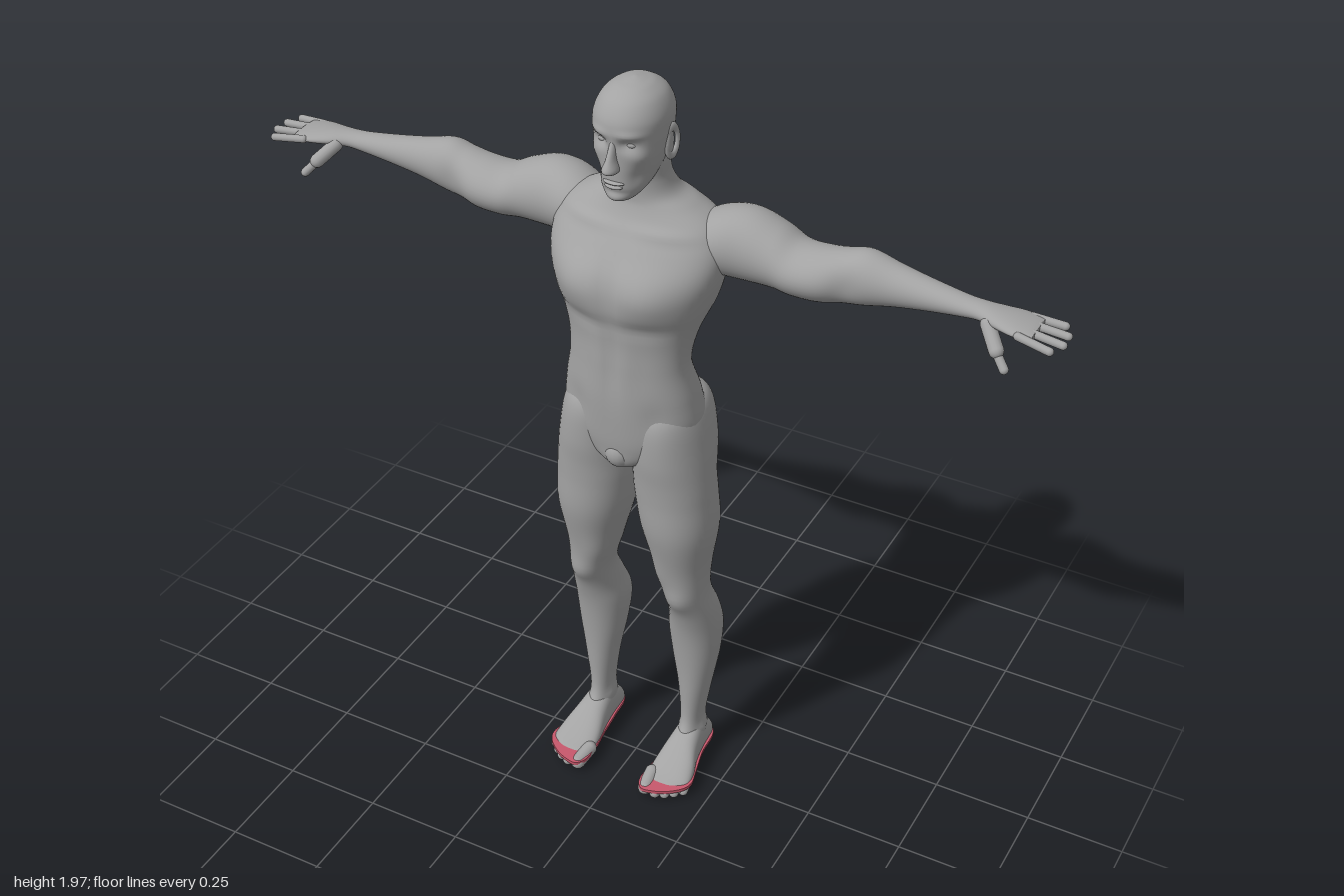
import * as THREE from 'three';

const skin = new THREE.MeshStandardMaterial({ color: 0xa3a3a3 });
skin.name = 'grey skin';
const pink = new THREE.MeshStandardMaterial({ color: 0xc8586c });
pink.name = 'pink sole edge';

const V = (x, y, z) => new THREE.Vector3(x, y, z);

// Smooth value through four keys
const spline = (a, b, c, d, t) =>
  b + 0.5 * t * (c - a + t * (2 * a - 5 * b + 4 * c - d + t * (3 * (b - c) + d - a)));

// Skin over rings [t, aMin, aMax, bMin, bMax]; (a, b) is (z, x) along y, (y, z) along x, (x, y) along z
function loft(axis, keys, power = 2, sides = 40, steps = 5) {
  const rows = [];
  const key = i => keys[Math.min(keys.length - 1, Math.max(0, i))];
  for (let i = 0; i < keys.length - 1; i++)
    for (let s = 0; s < steps; s++)
      rows.push(key(i).map((v, c) => spline(key(i - 1)[c], v, key(i + 1)[c], key(i + 2)[c], s / steps)));
  rows.push(key(keys.length - 1));
  const pos = [], index = [];
  const place = (t, a, b) => {
    if (axis === 'y') pos.push(b, t, a);
    else if (axis === 'x') pos.push(t, a, b);
    else pos.push(a, b, t);
  };
  const curve = v => Math.sign(v) * Math.abs(v) ** (2 / power);
  for (const [t, a0, a1, b0, b1] of rows)
    for (let j = 0; j < sides; j++) {
      const u = (j / sides) * Math.PI * 2;
      place(t, (a0 + a1) / 2 + (a1 - a0) / 2 * curve(Math.cos(u)),
        (b0 + b1) / 2 + (b1 - b0) / 2 * curve(Math.sin(u)));
    }
  const last = rows.length - 1, end = rows.length * sides;
  for (const r of [rows[0], rows[last]]) place(r[0], (r[1] + r[2]) / 2, (r[3] + r[4]) / 2);
  for (let j = 0; j < sides; j++) {
    const k = (j + 1) % sides;
    for (let i = 0; i < last; i++) {
      const p = i * sides + j, q = i * sides + k;
      index.push(p, q, p + sides, q, q + sides, p + sides);
    }
    index.push(end, k, j, end + 1, last * sides + j, last * sides + k);
  }
  const g = new THREE.BufferGeometry();
  g.setAttribute('position', new THREE.Float32BufferAttribute(pos, 3));
  g.setIndex(index);
  g.computeVertexNormals();
  return g;
}

// Push the surface in or out with soft mirrored bumps [x, y, z, rx, ry, rz, height]
function sculpt(g, bumps) {
  const p = g.attributes.position, n = g.attributes.normal;
  for (let i = 0; i < p.count; i++) {
    const x = Math.abs(p.getX(i)), y = p.getY(i), z = p.getZ(i);
    let h = 0;
    for (const [bx, by, bz, rx, ry, rz, amp] of bumps)
      h += amp * Math.exp(-(((x - bx) / rx) ** 2) - ((y - by) / ry) ** 2 - ((z - bz) / rz) ** 2);
    p.setXYZ(i, p.getX(i) + n.getX(i) * h, y + n.getY(i) * h, z + n.getZ(i) * h);
  }
  g.computeVertexNormals();
  return g;
}

// Rounded rod between two points, for fingers and toes
function rod(a, b, r) {
  const d = b.clone().sub(a);
  const g = new THREE.CapsuleGeometry(r, d.length(), 6, 14);
  g.applyQuaternion(new THREE.Quaternion().setFromUnitVectors(V(0, 1, 0), d.normalize()));
  const m = a.clone().add(b).multiplyScalar(0.5);
  return g.translate(m.x, m.y, m.z);
}

const blob = (x, y, z, rx, ry, rz) =>
  new THREE.SphereGeometry(1, 20, 14).scale(rx, ry, rz).translate(x, y, z);

function mirrored(g) {
  const m = g.clone().scale(-1, 1, 1);
  if (!m.index) m.setIndex([...Array(m.attributes.position.count).keys()]);
  const ix = m.index;
  for (let i = 0; i < ix.count; i += 3) {
    const t = ix.getX(i);
    ix.setX(i, ix.getX(i + 1));
    ix.setX(i + 1, t);
  }
  return m;
}

export function createModel() {
  const model = new THREE.Group();
  model.name = 'figure';
  const add = (name, g, mat = skin) => {
    const m = new THREE.Mesh(g, mat);
    m.name = name;
    model.add(m);
  };
  const pair = (name, g, mat) => {
    add('left' + name, g, mat);
    add('right' + name, mirrored(g), mat);
  };

  // Torso and neck: [y, half width, back, front]
  const upright = ([y, w, back, front]) => [y, back, front, -w, w];
  const torso = loft('y', [
    [0.975, 0.02, -0.03, 0.06], [1.0, 0.07, -0.07, 0.1], [1.05, 0.14, -0.1, 0.112],
    [1.11, 0.172, -0.115, 0.118], [1.19, 0.165, -0.1, 0.122], [1.28, 0.148, -0.068, 0.12],
    [1.36, 0.158, -0.09, 0.122], [1.45, 0.188, -0.132, 0.138], [1.52, 0.208, -0.148, 0.13],
    [1.58, 0.21, -0.152, 0.095], [1.63, 0.185, -0.142, 0.058], [1.665, 0.13, -0.125, 0.04],
    [1.69, 0.088, -0.106, 0.036], [1.73, 0.07, -0.086, 0.038], [1.78, 0.066, -0.076, 0.045],
    [1.82, 0.05, -0.06, 0.04]].map(upright), 2.2, 64, 7);
  add('torso', sculpt(torso, [
    [0.085, 1.49, 0.13, 0.065, 0.055, 0.08, 0.014],   // chest
    [0, 1.5, 0.13, 0.018, 0.09, 0.06, -0.006],        // breastbone
    [0.07, 1.4, 0.12, 0.08, 0.02, 0.06, -0.006],      // under chest
    [0, 1.28, 0.12, 0.012, 0.1, 0.05, -0.004],        // belly line
    [0.035, 1.3, 0.12, 0.025, 0.1, 0.05, 0.004],      // abdomen
    [0.1, 1.15, 0.1, 0.03, 0.05, 0.05, -0.005],       // groin crease
    [0.09, 1.62, 0.05, 0.08, 0.012, 0.06, 0.006],     // collarbone
    [0, 1.4, -0.12, 0.025, 0.17, 0.08, -0.016],       // spine
    [0.1, 1.53, -0.14, 0.05, 0.07, 0.06, 0.008],      // shoulder blade
    [0.05, 1.27, -0.07, 0.03, 0.1, 0.05, 0.007],      // lower back
    [0.17, 1.46, -0.06, 0.05, 0.07, 0.07, 0.008]]));  // side muscle
  add('groin', blob(0, 1.03, 0.082, 0.036, 0.042, 0.036));

  // Head: [y, half width, back, front]
  const head = loft('y', [
    [1.707, 0.018, 0.045, 0.085], [1.715, 0.034, 0.02, 0.1], [1.74, 0.054, -0.02, 0.106],
    [1.78, 0.069, -0.066, 0.108], [1.82, 0.078, -0.088, 0.109], [1.86, 0.083, -0.096, 0.112],
    [1.9, 0.083, -0.094, 0.109], [1.935, 0.068, -0.077, 0.088], [1.955, 0.044, -0.05, 0.058],
    [1.963, 0.022, -0.024, 0.03], [1.967, 0.003, -0.001, 0.006]].map(upright), 2.15, 64, 8);
  add('head', sculpt(head, [
    [0.034, 1.85, 0.1, 0.02, 0.014, 0.04, -0.013],    // eye socket
    [0.034, 1.874, 0.1, 0.026, 0.009, 0.04, 0.005],   // brow
    [0.052, 1.82, 0.08, 0.02, 0.016, 0.03, 0.004],    // cheekbone
    [0.05, 1.77, 0.08, 0.02, 0.025, 0.03, -0.006],    // cheek
    [0, 1.733, 0.1, 0.03, 0.008, 0.03, -0.003],       // under lip
    [0, 1.718, 0.1, 0.02, 0.01, 0.03, 0.004]]));      // chin
  add('nose', loft('y', [
    [1.785, 0.008, 0.09, 0.12], [1.789, 0.016, 0.09, 0.135], [1.798, 0.018, 0.09, 0.142],
    [1.82, 0.011, 0.09, 0.131], [1.85, 0.008, 0.088, 0.115], [1.865, 0.006, 0.088, 0.108]
  ].map(upright), 2, 20));
  add('upperLip', blob(0, 1.758, 0.103, 0.026, 0.005, 0.012));
  add('lowerLip', blob(0, 1.748, 0.102, 0.022, 0.006, 0.012));
  pair('Eye', blob(0.033, 1.849, 0.084, 0.014, 0.009, 0.01));
  const ear = new THREE.TorusGeometry(0.02, 0.007, 10, 24).scale(0.85, 1.7, 0.8)
    .rotateY(Math.PI / 2 - 0.35).translate(0.083, 1.827, -0.008);
  pair('EarRim', ear);
  pair('EarBowl', blob(0.08, 1.826, -0.004, 0.007, 0.034, 0.016));

  // Arm: [x, bottom, top, back, front]
  const arm = loft('x', [
    [0.1, 1.53, 1.62, -0.11, 0.01], [0.18, 1.505, 1.66, -0.15, 0.018],
    [0.25, 1.497, 1.668, -0.158, 0.006], [0.32, 1.498, 1.645, -0.154, 0],
    [0.37, 1.495, 1.622, -0.146, 0], [0.43, 1.497, 1.625, -0.138, -0.002],
    [0.48, 1.506, 1.634, -0.132, -0.012], [0.53, 1.512, 1.644, -0.13, -0.018],
    [0.6, 1.529, 1.628, -0.118, -0.027], [0.68, 1.545, 1.615, -0.104, -0.03],
    [0.76, 1.559, 1.606, -0.09, -0.03], [0.8, 1.565, 1.604, -0.087, -0.026],
    [0.84, 1.567, 1.602, -0.092, -0.01], [0.88, 1.567, 1.598, -0.1, 0.002],
    [0.915, 1.57, 1.592, -0.1, 0.006], [0.93, 1.575, 1.588, -0.094, 0.002]], 2, 40, 6);
  pair('Arm', sculpt(arm, [
    [0.4, 1.56, 0, 0.07, 0.04, 0.05, 0.006],          // biceps
    [0.37, 1.55, -0.14, 0.08, 0.04, 0.05, 0.005],     // triceps
    [0.5, 1.57, -0.015, 0.03, 0.04, 0.03, -0.006]])); // elbow bend

  // Fingers: [root z, tip x, tip z]
  [[0.0, 0.975, 0.013], [-0.03, 0.992, -0.022], [-0.06, 0.99, -0.06], [-0.088, 0.972, -0.095]]
    .forEach(([z, tx, tz], i) =>
      pair('Finger' + (i + 1), rod(V(0.9, 1.582, z), V(tx, 1.575, tz), 0.0095)));
  pair('ThumbBase', rod(V(0.825, 1.575, -0.025), V(0.86, 1.538, 0.008), 0.017));
  pair('ThumbTip', rod(V(0.855, 1.542, 0.006), V(0.886, 1.508, 0.024), 0.0105));

  // Leg: [y, back, front, inner, outer]
  const leg = loft('y', [
    [1.18, -0.075, 0.07, 0.04, 0.13], [1.155, -0.118, 0.095, 0.02, 0.162],
    [1.11, -0.138, 0.108, 0.008, 0.179], [1.03, -0.134, 0.108, 0.002, 0.193],
    [0.96, -0.109, 0.1, 0.004, 0.2], [0.9, -0.109, 0.095, 0.007, 0.205],
    [0.8, -0.115, 0.089, 0.022, 0.208], [0.68, -0.101, 0.062, 0.055, 0.19],
    [0.59, -0.095, 0.048, 0.078, 0.185], [0.51, -0.125, 0.018, 0.075, 0.196],
    [0.44, -0.147, 0, 0.066, 0.2], [0.35, -0.141, -0.012, 0.075, 0.193],
    [0.25, -0.126, -0.019, 0.093, 0.177], [0.14, -0.114, -0.02, 0.105, 0.161],
    [0.08, -0.122, 0.005, 0.102, 0.165], [0.03, -0.12, 0.01, 0.104, 0.163]].reverse(), 2.1, 48, 6);
  pair('Leg', sculpt(leg, [
    [0.135, 0.585, 0.045, 0.03, 0.03, 0.04, 0.007],   // kneecap
    [0.09, 0.67, 0.04, 0.03, 0.05, 0.05, 0.006],      // inner thigh
    [0.13, 0.58, -0.095, 0.03, 0.06, 0.04, -0.006],   // knee hollow
    [0.1, 0.44, -0.13, 0.03, 0.07, 0.05, 0.005],      // calf
    [0.165, 0.1, -0.065, 0.015, 0.018, 0.02, 0.006],  // outer ankle
    [0.1, 0.11, -0.06, 0.015, 0.018, 0.02, 0.006]])); // inner ankle

  // Foot: [z, inner, outer, bottom, top]
  pair('Foot', loft('z', [
    [-0.138, 0.118, 0.148, 0.015, 0.045], [-0.125, 0.103, 0.162, 0.004, 0.075],
    [-0.06, 0.098, 0.17, 0, 0.118], [0, 0.091, 0.18, 0, 0.103], [0.05, 0.083, 0.195, 0, 0.07],
    [0.09, 0.082, 0.198, 0, 0.048], [0.115, 0.086, 0.18, 0.003, 0.037],
    [0.125, 0.09, 0.165, 0.008, 0.028]], 2.4));

  // Toes: [x, tip z, radius]
  [[0.099, 0.136, 0.019], [0.128, 0.137, 0.0145], [0.151, 0.128, 0.0135],
    [0.171, 0.114, 0.0125], [0.189, 0.096, 0.012]].forEach(([x, z, r], i) =>
    pair('Toe' + (i + 1), rod(V(x - 0.006, r + 0.012, z - 0.05), V(x, r + 0.003, z), r)));

  // Thin coloured edge around the sole
  const outline = [[0.132, -0.142], [0.104, -0.13], [0.094, -0.06], [0.087, 0.01], [0.078, 0.08],
    [0.08, 0.135], [0.098, 0.157], [0.127, 0.153], [0.152, 0.143], [0.174, 0.128], [0.195, 0.107],
    [0.204, 0.08], [0.193, 0.03], [0.176, -0.04], [0.165, -0.125]];
  const shape = new THREE.Shape(new THREE.CatmullRomCurve3(
    outline.map(([x, z]) => V(x, z, 0)), true).getPoints(70).map(p => new THREE.Vector2(p.x, p.y)));
  pair('SoleEdge', new THREE.ExtrudeGeometry(shape, { depth: 0.009, bevelEnabled: false })
    .rotateX(Math.PI / 2).translate(0, 0.036, 0), pink);

  return model;
}
